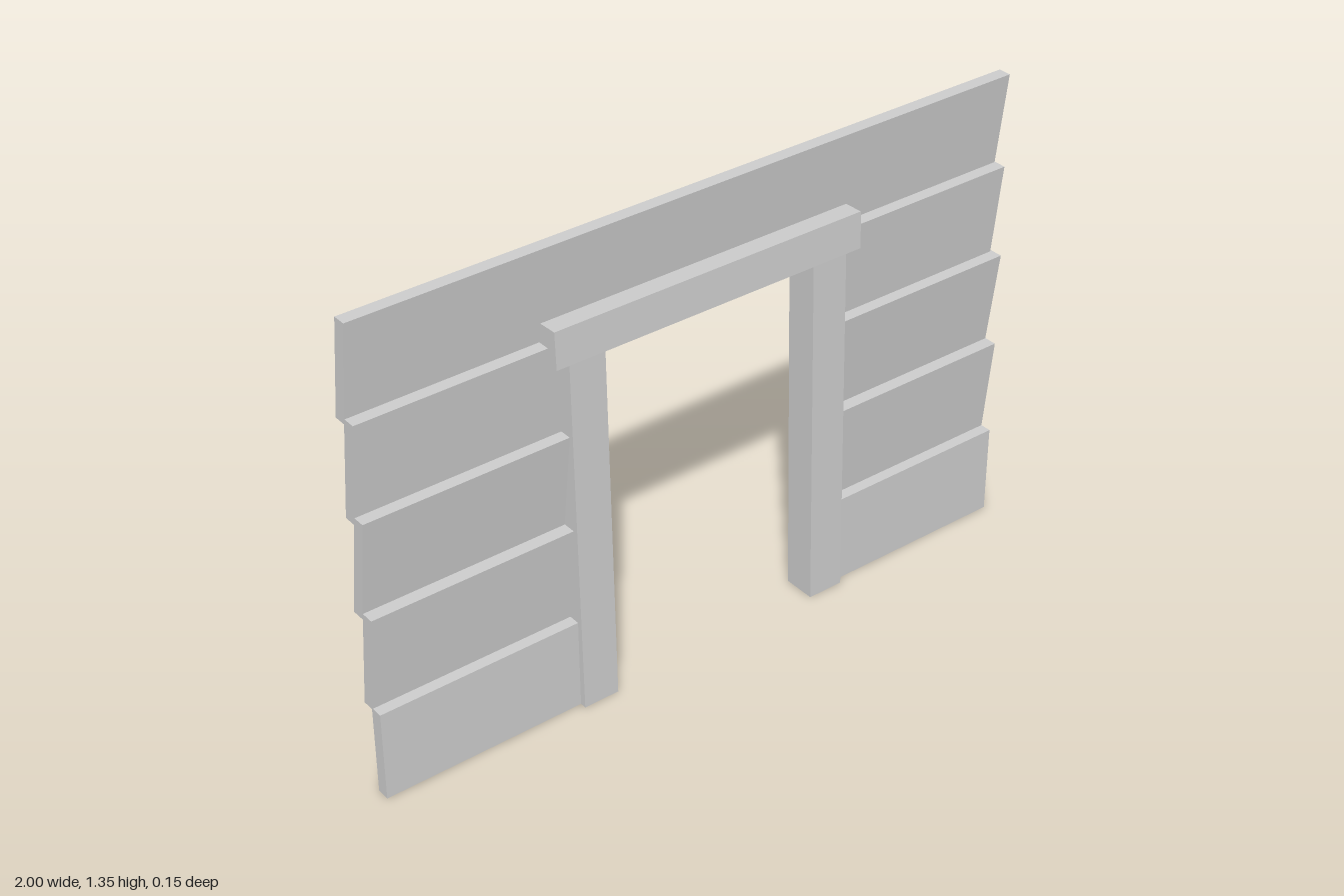
import * as THREE from 'three';

const material = new THREE.MeshStandardMaterial({ color: 0xcccccc, flatShading: true });

// Box running between the centres of its bottom and top ends, [x, y, z] each
function beam(name, bottom, top, width, depth) {
  const geometry = new THREE.BoxGeometry(1, 1, 1);
  const p = geometry.attributes.position;
  const a = new THREE.Vector3(...bottom);
  const b = new THREE.Vector3(...top);
  for (let i = 0; i < p.count; i++) {
    const c = a.clone().lerp(b, p.getY(i) + 0.5);
    p.setXYZ(i, c.x + p.getX(i) * width, c.y, c.z + p.getZ(i) * depth);
  }
  geometry.computeVertexNormals();
  const mesh = new THREE.Mesh(geometry, material);
  mesh.name = name;
  return mesh;
}

export function createModel() {
  const group = new THREE.Group();

  // Overlapping siding: bottom y, top y, bottom z, top z, left end x
  const rows = [
    [0, 0.262, 0.036, 0.036, 1.0],
    [0.258, 0.543, 0.003, 0.032, 1.0],
    [0.525, 0.818, -0.008, 0.03, 1.0],
    [0.797, 1.085, -0.007, 0.025, 0.994],
  ];
  rows.forEach(([y0, y1, z0, z1, end], i) => {
    for (const [side, xa, xb] of [['right', -1, -0.4], ['left', 0.425, end]]) {
      const x = (xa + xb) / 2;
      group.add(beam(`${side}Plank${i + 1}`, [x, y0, z0], [x, y1, z1], xb - xa, 0.037));
    }
  });

  // Full-width plank above the doorway
  group.add(beam('topPlank', [-0.004, 1.07, -0.012], [-0.004, 1.35, 0.022], 1.992, 0.037));

  // Slightly leaning door posts
  group.add(beam('rightPost', [-0.362, 0, 0.026], [-0.368, 1.05, 0.011], 0.105, 0.094));
  group.add(beam('leftPost', [0.392, 0, 0.026], [0.383, 1.05, 0.011], 0.107, 0.094));

  // Lintel, tipped a little
  const lintel = new THREE.Mesh(new THREE.BoxGeometry(0.938, 0.103, 0.145), material);
  lintel.name = 'lintel';
  lintel.position.set(0, 1.087, 0.001);
  lintel.rotation.x = -0.045;
  group.add(lintel);

  return group;
}
